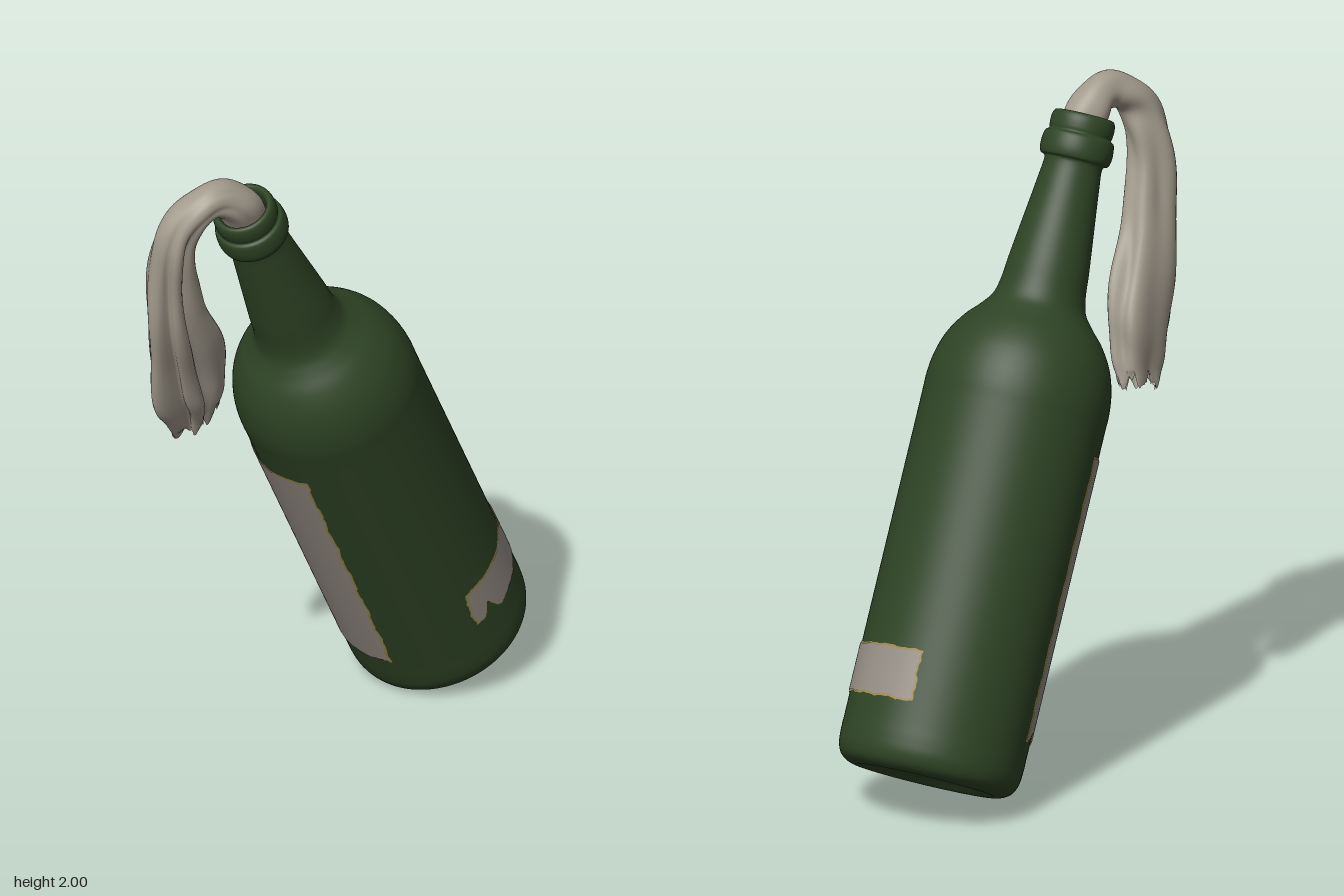
import * as THREE from 'three';

const BODY_R = 0.272;

// Smooth lathe profile as [radius, height along the bottle]
const PROFILE = [
  [0, 0.055], [0.1, 0.045], [0.17, 0.018], [0.205, 0.001], [0.23, 0.005], [0.255, 0.022], [0.268, 0.05], [BODY_R, 0.09],
  [BODY_R, 0.14], [BODY_R, 0.6], [BODY_R, 1.1], [BODY_R, 1.16], [0.264, 1.22], [0.243, 1.285], [0.206, 1.345],
  [0.165, 1.39], [0.139, 1.425], [0.127, 1.47], [0.12, 1.54], [0.106, 1.66], [0.092, 1.78], [0.086, 1.845],
  [0.089, 1.853], [0.1, 1.858], [0.106, 1.875], [0.106, 1.905], [0.101, 1.925], [0.092, 1.932],
  [0.094, 1.945], [0.094, 1.97], [0.088, 1.987], [0.078, 1.99], [0.07, 1.98], [0.066, 1.94], [0.06, 1.85],
];

// Cloth stations: centre x, y, z, then half width and half thickness
const CLOTH = [
  [-0.26, 1.80, 0.32, 0.05, 0.05],
  [-0.295, 1.89, 0.355, 0.064, 0.062],
  [-0.34, 1.94, 0.385, 0.057, 0.058],
  [-0.395, 1.945, 0.41, 0.053, 0.058],
  [-0.455, 1.90, 0.425, 0.055, 0.06],
  [-0.49, 1.82, 0.422, 0.065, 0.062],
  [-0.502, 1.70, 0.405, 0.075, 0.062],
  [-0.49, 1.55, 0.375, 0.095, 0.065],
  [-0.465, 1.40, 0.325, 0.122, 0.065],
  [-0.44, 1.27, 0.28, 0.13, 0.06],
  [-0.425, 1.18, 0.25, 0.11, 0.052],
  [-0.42, 1.105, 0.225, 0.08, 0.04],
];

const ragged = (v, s) => Math.sin(v * 3.1 + s) * 0.5 + Math.sin(v * 7.7 + s * 2) * 0.3 + Math.sin(v * 17.3 + s * 3) * 0.2;

// Grid of quads; point(i, j) gives the position at row i, column j
function gridGeometry(rows, cols, wrap, point) {
  const pos = [], idx = [];
  const stride = wrap ? cols : cols + 1;
  for (let i = 0; i <= rows; i++) for (let j = 0; j < stride; j++) pos.push(...point(i / rows, j / cols));
  for (let i = 0; i < rows; i++) {
    for (let j = 0; j < cols; j++) {
      const k = (j + 1) % stride;
      const a = i * stride + j, b = i * stride + k, c = a + stride, d = (i + 1) * stride + k;
      idx.push(a, b, c, b, d, c);
    }
  }
  const g = new THREE.BufferGeometry();
  g.setAttribute('position', new THREE.Float32BufferAttribute(pos, 3));
  g.setIndex(idx);
  g.computeVertexNormals();
  return g;
}

// Curved paper patch around the body, with torn edges; grow widens it for the border
function paperPatch({ from, to, low, high, notch = () => 0, seed }, radius, grow) {
  return gridGeometry(60, 60, false, (v, u) => {
    const t = THREE.MathUtils.lerp(low, high, v);
    const g = grow / BODY_R;
    const a0 = THREE.MathUtils.degToRad(from) - g + 0.022 * ragged(t * 14, seed);
    const a1 = THREE.MathUtils.degToRad(to) + g + 0.022 * ragged(t * 14, seed + 2);
    const a = THREE.MathUtils.lerp(a1, a0, u);
    const y0 = low - grow + notch(THREE.MathUtils.radToDeg(a)) + 0.004 * ragged(a * 6, seed);
    const y1 = high + grow + 0.003 * ragged(a * 6, seed + 4);
    return [radius * Math.cos(a), THREE.MathUtils.lerp(y0, y1, v), radius * Math.sin(a)];
  });
}

function clothGeometry() {
  const path = new THREE.CatmullRomCurve3(CLOTH.map(s => new THREE.Vector3(s[0], s[1], s[2])), false, 'catmullrom');
  const size = new THREE.CatmullRomCurve3(CLOTH.map(s => new THREE.Vector3(s[3], s[4], 0)), false, 'catmullrom');
  return gridGeometry(90, 56, true, (u, w) => {
    const th = w * Math.PI * 2;
    const c = path.getPoint(u), s = size.getPoint(u), T = path.getTangent(u);
    const hang = THREE.MathUtils.smoothstep(u, 0.3, 0.6);
    const B = new THREE.Vector3(0.4, 0, 0.9).lerp(new THREE.Vector3(0.65, 0, 0.75), hang);
    B.addScaledVector(T, -B.dot(T)).normalize();
    const W = new THREE.Vector3().crossVectors(B, T);
    // Pleats, plus two deep creases along the front
    const crease = 0.5 * Math.exp(-(((th - 1.4) / 0.22) ** 2)) + 0.35 * Math.exp(-(((th - 2.4) / 0.2) ** 2));
    const f = 1 + (0.15 + 0.85 * hang) * (0.09 * Math.cos(5 * th + 5 * u) + 0.06 * Math.sin(3 * th - 9 * u) - crease)
      + 0.04 * Math.sin(u * 34 + 2 * th);
    // Torn lower end
    const tear = u > 0.97 ? 0.03 * ragged(th * 2, 1) : 0;
    return c.addScaledVector(W, s.x * f * Math.cos(th)).addScaledVector(B, s.y * f * Math.sin(th))
      .addScaledVector(T, tear).toArray();
  });
}

export function createModel() {
  const glass = new THREE.MeshStandardMaterial({ color: 0x2e4425, side: THREE.DoubleSide });
  glass.name = 'greenGlass';
  const paper = new THREE.MeshStandardMaterial({ color: 0x958d84, side: THREE.DoubleSide });
  paper.name = 'greyPaper';
  const edge = new THREE.MeshStandardMaterial({ color: 0x9c8848, side: THREE.DoubleSide });
  edge.name = 'yellowedPaperEdge';
  const fabric = new THREE.MeshStandardMaterial({ color: 0xa29a8c, side: THREE.DoubleSide });
  fabric.name = 'dirtyCloth';

  const model = new THREE.Group();
  model.name = 'bottleWithRag';
  const add = (parent, name, geometry, material) => {
    const mesh = new THREE.Mesh(geometry, material);
    mesh.name = name;
    parent.add(mesh);
  };

  // Leaning bottle, built upright and then tilted
  const bottle = new THREE.Group();
  bottle.name = 'bottle';
  const axis = new THREE.Vector3(-0.312, 0.9, 0.304).normalize();
  bottle.quaternion.setFromUnitVectors(new THREE.Vector3(0, 1, 0), axis);
  bottle.position.set(0.33, 0.1, -0.254);
  model.add(bottle);

  const curve = new THREE.CatmullRomCurve3(PROFILE.map(([r, y]) => new THREE.Vector3(r, y, 0)));
  const outline = curve.getPoints(170).map(p => new THREE.Vector2(Math.max(p.x, 0), p.y));
  add(bottle, 'glassBody', new THREE.LatheGeometry(outline, 96), glass);

  // Torn paper labels with yellowed borders; angles run from +x towards +z
  const labels = {
    bandLabel: { from: -54, to: 57, low: 0.205, high: 0.345, seed: 1,
      notch: a => 0.05 * Math.exp(-(((a - 44) / 4) ** 2)) + (a > 44 ? 0.018 : 0) },
    largeLabel: { from: 119, to: 213, low: 0.18, high: 1.02, seed: 5,
      notch: a => 0.025 * Math.exp(-(((a - 203) / 4) ** 2)) },
  };
  for (const [name, spec] of Object.entries(labels)) {
    add(bottle, name + 'Border', paperPatch(spec, BODY_R + 0.002, 0.006), edge);
    add(bottle, name, paperPatch(spec, BODY_R + 0.004, 0), paper);
  }

  // Rag stuffed in the mouth and hanging down
  add(model, 'hangingRag', clothGeometry(), fabric);
  return model;
}
